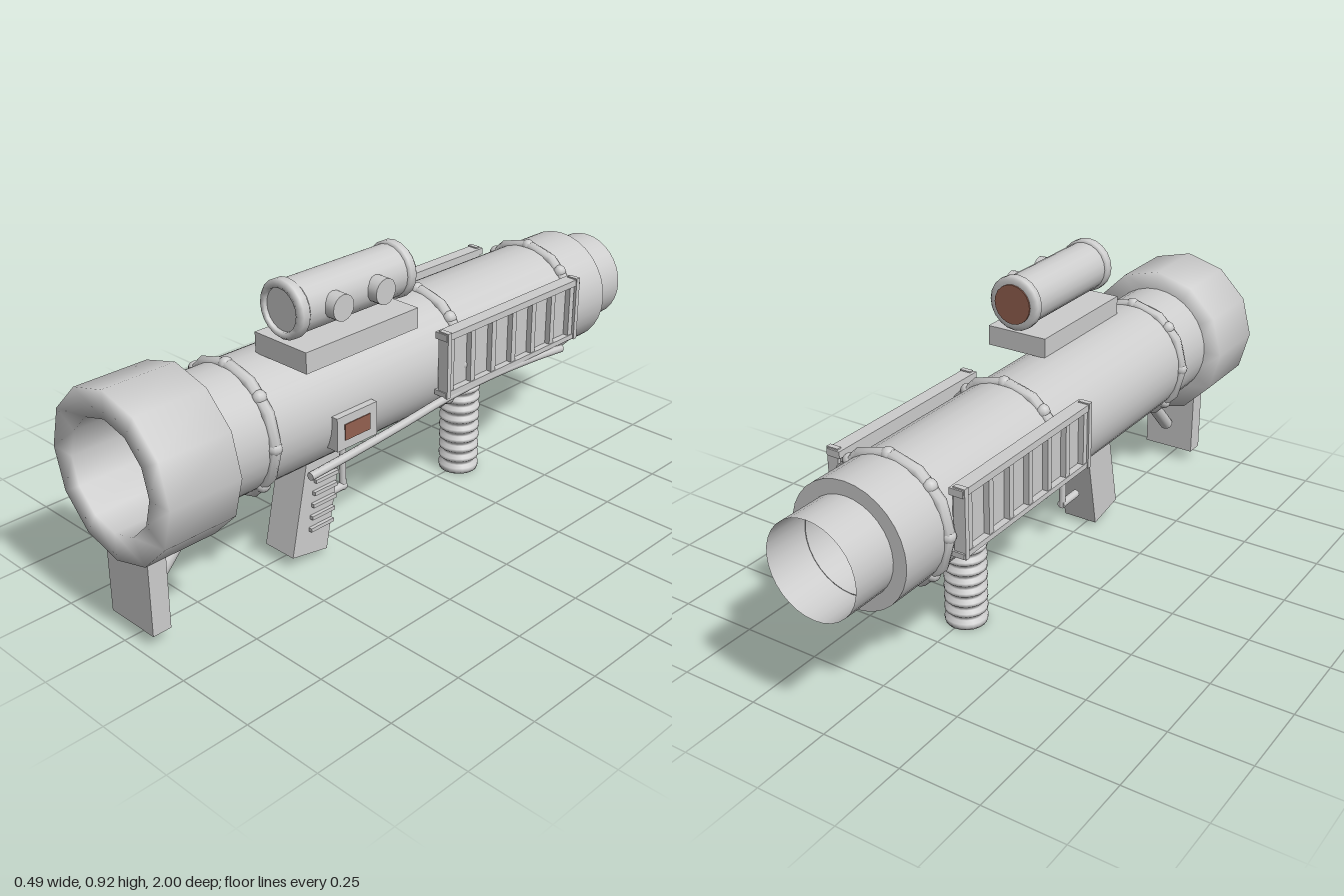
import * as THREE from 'three';

const CY = 0.5; // height of the barrel axis

export function createModel() {
  const model = new THREE.Group();
  const metal = new THREE.MeshStandardMaterial({ color: 0xcccccc });
  metal.name = 'light grey metal';
  const shell = new THREE.MeshStandardMaterial({ color: 0xcccccc, side: THREE.DoubleSide });
  shell.name = 'light grey open shell';
  const brown = new THREE.MeshStandardMaterial({ color: 0x93604f });
  brown.name = 'brown glass';

  const add = (name, geo, x = 0, y = 0, z = 0, mat = metal, parent = model) => {
    const m = new THREE.Mesh(geo, mat);
    m.name = name;
    m.position.set(x, y, z);
    parent.add(m);
    return m;
  };
  // box given by its limits on each axis
  const box = (name, x0, x1, y0, y1, z0, z1, mat = metal, parent = model) =>
    add(name, new THREE.BoxGeometry(x1 - x0, y1 - y0, z1 - z0),
      (x0 + x1) / 2, (y0 + y1) / 2, (z0 + z1) / 2, mat, parent);
  // lathe around the z axis, points are [radius, z]
  const latheZ = (pts, sides) =>
    new THREE.LatheGeometry(pts.map(p => new THREE.Vector2(...p)), sides).rotateX(Math.PI / 2);
  // cylinder between two points
  const rod = (name, a, b, r, sides = 12) => {
    const A = new THREE.Vector3(...a), B = new THREE.Vector3(...b);
    const m = add(name, new THREE.CylinderGeometry(r, r, A.distanceTo(B), sides));
    m.position.copy(A).add(B).multiplyScalar(0.5);
    m.quaternion.setFromUnitVectors(new THREE.Vector3(0, 1, 0), B.sub(A).normalize());
    return m;
  };

  // Barrel, rear shoulder and open nozzle
  add('barrel', latheZ([[0.187, -0.855], [0.187, 0.8]], 32), 0, CY, 0, shell);
  add('rearShoulder', new THREE.RingGeometry(0.143, 0.187, 32), 0, CY, -0.855, shell);
  add('nozzle', latheZ([[0.145, -1], [0.145, -0.6]], 32), 0, CY, 0, shell);
  add('innerBulkhead', new THREE.CircleGeometry(0.187, 32), 0, CY, -0.6, shell);

  // Heavy twelve-sided muzzle ring
  add('muzzle', latheZ([[0.165, 0.77], [0.247, 0.77], [0.247, 1], [0.165, 1], [0.165, 0.77]], 12), 0, CY, 0);

  // Clamp bands with round bolts
  for (const z of [0.605, -0.145, -0.678]) {
    const band = new THREE.Group();
    band.name = 'clampBand';
    band.position.set(0, CY, z);
    add('bandRing', new THREE.TorusGeometry(0.186, 0.02, 8, 12), 0, 0, 0, metal, band);
    for (let i = 0; i < 8; i++) {
      const a = i * Math.PI / 4;
      add('bolt', new THREE.SphereGeometry(0.022, 10, 8),
        Math.cos(a) * 0.185, Math.sin(a) * 0.185, 0, metal, band);
    }
    model.add(band);
  }

  // Front foot plate and diagonal strut
  box('footPlate', -0.09, 0.09, 0.04, 0.3, 0.91, 0.97);
  rod('strut', [0, 0.14, 0.885], [0, 0.395, 0.64], 0.022);

  // Slanted rear grip with side ribs
  const grip = new THREE.Shape([[-0.39, 0.34], [-0.455, 0.04], [-0.32, 0.015], [-0.255, 0.34]]
    .map(p => new THREE.Vector2(...p)));
  const gripGeo = new THREE.ExtrudeGeometry(grip, { depth: 0.117, bevelEnabled: false });
  add('pistolGrip', gripGeo.rotateY(Math.PI / 2), -0.042, 0, 0);
  for (let i = 0; i < 5; i++) {
    const y = 0.11 + i * 0.038, back = 0.305 - i * 0.006;
    box('gripRib', 0.07, 0.087, y - 0.006, y + 0.006, back - 0.004, back + 0.085);
  }

  // Trigger and guard
  box('trigger', -0.012, 0.012, 0.23, 0.33, 0.2, 0.225);
  rod('guardPost', [0, 0.13, 0.178], [0, 0.33, 0.178], 0.011);
  rod('guardBar', [0, 0.14, 0.17], [0, 0.14, 0.262], 0.013);

  // Ribbed fore grip, turned as one profile
  const ribs = [[0, 0], [0.062, 0]];
  for (let i = 0; i < 9; i++) {
    const y = 0.006 + i * 0.035;
    ribs.push([0.065, y + 0.004], [0.065, y + 0.014], [0.053, y + 0.021], [0.053, y + 0.029]);
  }
  ribs.push([0.053, 0.335]);
  add('foreGrip', new THREE.LatheGeometry(ribs.map(p => new THREE.Vector2(...p)), 20), 0, 0, -0.355);

  // Scope on its mount
  box('scopeMount', 0, 0.202, 0.685, 0.747, 0.07, 0.5);
  const scope = new THREE.Group();
  scope.name = 'scope';
  scope.position.set(0.105, 0.839, 0);
  model.add(scope);
  add('scopeBody', latheZ([[0.078, 0.07], [0.078, 0.48]], 20), 0, 0, 0, metal, scope);
  for (const [z0, z1] of [[0.057, 0.093], [0.462, 0.5]]) {
    add('scopeRim', latheZ([[0.062, z0], [0.078, z0], [0.085, z0 + 0.008], [0.085, z1 - 0.008],
      [0.078, z1], [0.062, z1], [0.062, z0]], 20), 0, 0, 0, metal, scope);
  }
  add('frontLens', new THREE.CircleGeometry(0.063, 20), 0, 0, 0.49, metal, scope);
  add('rearLens', new THREE.CylinderGeometry(0.062, 0.062, 0.009, 20).rotateX(Math.PI / 2),
    0, 0, 0.057, brown, scope);
  for (const z of [0.212, 0.372]) {
    add('scopeKnob', new THREE.CylinderGeometry(0.038, 0.038, 0.05, 16).rotateZ(Math.PI / 2),
      0.084, 0, z, metal, scope);
  }

  // Small display on the left side
  box('displayHousing', 0.16, 0.207, 0.415, 0.517, 0.242, 0.396);
  box('displayScreen', 0.205, 0.21, 0.442, 0.491, 0.27, 0.368, brown);

  // Cable running along the left side
  const path = new THREE.CatmullRomCurve3([[0.385, 0.505], [0.392, 0.38], [0.409, 0.15], [0.428, -0.06],
    [0.432, -0.25], [0.423, -0.45], [0.41, -0.6]].map(([y, z]) => new THREE.Vector3(0.212, y, z)));
  add('cable', new THREE.TubeGeometry(path, 32, 0.0125, 8), 0, 0, 0);
  for (const [y, z, turn] of [[0.385, 0.505, 0], [0.41, -0.6, Math.PI]]) {
    add('cableEnd', new THREE.CircleGeometry(0.0125, 8).rotateY(turn), 0.212, y, z);
  }

  // Slatted side panels, mirrored
  for (const s of [1, -1]) {
    const panel = new THREE.Group();
    panel.name = s > 0 ? 'leftPanel' : 'rightPanel';
    model.add(panel);
    const part = (name, x0, x1, ...r) =>
      box(name, Math.min(s * x0, s * x1), Math.max(s * x0, s * x1), ...r, metal, panel);
    part('panelBack', 0.18, 0.203, 0.445, 0.62, -0.65, -0.045);
    part('panelTopRail', 0.18, 0.224, 0.615, 0.636, -0.665, -0.03);
    part('panelBottomRail', 0.18, 0.224, 0.435, 0.451, -0.665, -0.03);
    for (let i = 0; i < 7; i++) {
      const z = -0.058 - i * 0.0953;
      part('panelSlat', 0.19, 0.221, 0.451, 0.615, z - 0.01, z + 0.01);
    }
    for (const z of [-0.041, -0.652]) part('panelEnd', 0.19, 0.227, 0.432, 0.64, z - 0.008, z + 0.008);
  }
  return model;
}
